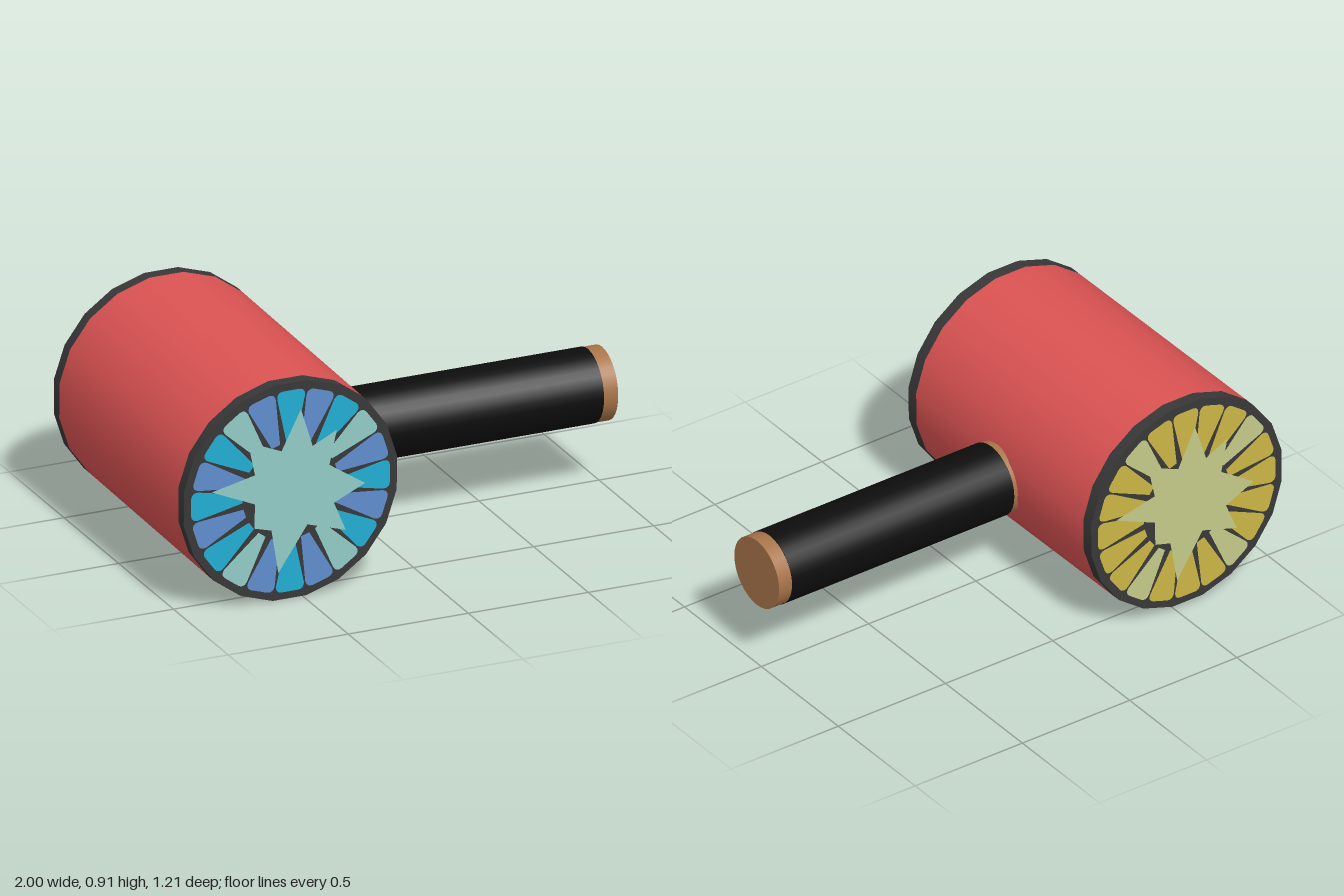
import * as THREE from 'three';

const mat = (name, color) => Object.assign(new THREE.MeshStandardMaterial({ color }), { name });

export function createModel() {
  const red = mat('drumRed', 0xdd5353);
  const charcoal = mat('rimCharcoal', 0x383838);
  const black = mat('gripBlack', 0x0d0d0d);
  const wood = mat('woodBrown', 0xa87449);
  const cyan = mat('cyan', 0x23aed4);
  const blue = mat('blue', 0x5f8fce);
  const aqua = mat('paleAqua', 0x92ccc6);
  const yellow = mat('yellow', 0xc9b445);
  const lime = mat('paleLime', 0xc3ca88);

  const model = new THREE.Group();
  model.name = 'mallet';
  const add = (parent, name, geometry, material) => {
    const mesh = new THREE.Mesh(geometry, material);
    mesh.name = name;
    parent.add(mesh);
    return mesh;
  };

  // Head: a twenty-sided drum lying along z, tipped very slightly
  const R = 0.449, L = 1.188, BAND = 0.05, SIDES = 20, STEP = Math.PI * 2 / SIDES;
  const head = new THREE.Group();
  head.name = 'head';
  head.position.set(-0.556, 0.453, 0);
  head.rotation.x = 0.0145;
  model.add(head);

  const drum = (length, open) =>
    new THREE.CylinderGeometry(R, R, length, SIDES, 1, open, STEP / 2).rotateX(Math.PI / 2);
  add(head, 'drumBody', drum(L - 2 * BAND, true), red);
  for (const [name, s] of [['frontBand', 1], ['backBand', -1]]) {
    add(head, name, drum(BAND, false), charcoal).position.z = s * (L - BAND) / 2;
  }

  // Dark seam along the underside
  const seam = add(head, 'seam', new THREE.BoxGeometry(0.03, 0.008, L - 2 * BAND), black);
  seam.position.set(Math.sin(STEP / 2) * 0.446, -Math.cos(STEP / 2) * 0.446, 0);
  seam.rotation.z = STEP / 2;

  // One tapered petal with rounded corners, pointing up
  const petal = new THREE.Shape();
  petal.moveTo(-0.018, 0.2);
  petal.lineTo(-0.058, 0.385);
  petal.quadraticCurveTo(-0.06, 0.412, -0.035, 0.414);
  petal.lineTo(0.035, 0.414);
  petal.quadraticCurveTo(0.06, 0.412, 0.058, 0.385);
  petal.lineTo(0.018, 0.2);
  petal.closePath();
  const petalGeometry = new THREE.ShapeGeometry(petal, 4);

  // Uneven eight-pointed star, tips and valleys in turn
  const star = new THREE.Shape([
    [0.04, 0.33], [-0.04, 0.17], [-0.18, 0.23], [-0.15, 0.09],
    [-0.33, 0.05], [-0.15, -0.03], [-0.15, -0.13], [-0.08, -0.15],
    [-0.05, -0.33], [0.07, -0.15], [0.23, -0.20], [0.18, -0.08],
    [0.31, -0.02], [0.16, 0.08], [0.19, 0.22], [0.09, 0.17],
  ].map(([x, y]) => new THREE.Vector2(x, y)));
  const starGeometry = new THREE.ShapeGeometry(star);

  // Painted end faces: a ring of petals with the star over it
  const pattern = 'cbpcbcbcpbcbpcbcbpcb';
  const addFace = (name, turn, colours) => {
    const face = new THREE.Group();
    face.name = name;
    face.rotation.y = turn;
    head.add(face);
    [...pattern].forEach((key, i) => {
      const mesh = add(face, 'petal', petalGeometry, colours[key]);
      mesh.rotation.z = i * STEP;
      mesh.position.z = L / 2 + 0.002;
    });
    add(face, 'star', starGeometry, colours.p).position.z = L / 2 + 0.005;
  };
  addFace('frontFace', 0, { c: cyan, b: blue, p: aqua });
  addFace('backFace', Math.PI, { c: yellow, b: yellow, p: lime });

  // Handle: a wooden rod along x, with a black grip between its ends
  const handle = new THREE.Group();
  handle.name = 'handle';
  handle.position.set(0, 0.41, 0.03);
  model.add(handle);
  const rod = (name, x0, x1, radius, open, material) => {
    const geometry = new THREE.CylinderGeometry(radius, radius, x1 - x0, 32, 1, open);
    add(handle, name, geometry.rotateZ(-Math.PI / 2), material).position.x = (x0 + x1) / 2;
  };
  rod('rod', -0.25, 1, 0.146, false, wood);
  rod('grip', -0.095, 0.94, 0.148, false, black);

  return model;
}
